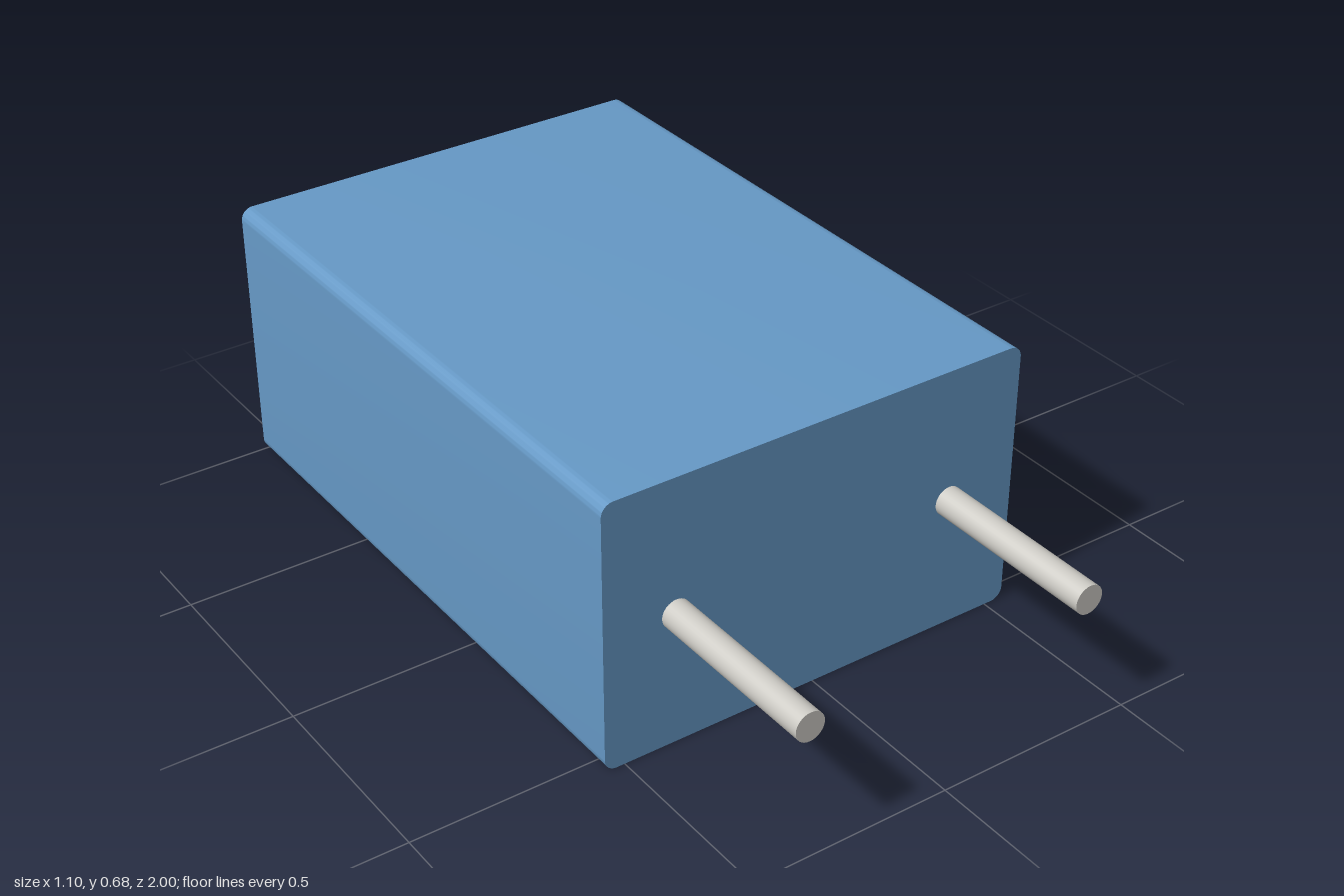
import * as THREE from 'three';
import { toCreasedNormals } from 'three/addons/utils/BufferGeometryUtils.js';

const WIDTH = 1.1, HEIGHT = 0.676, BACK = -1, FACE = 0.545, CORNER = 0.03;
const PIN_X = 0.367, PIN_RADIUS = 0.036, PIN_END = 1, PIN_INSET = 0.02;

// Rounded rectangle centred on x = 0, standing on y = 0
function roundedRect(w, h, r) {
  const s = new THREE.Shape();
  s.absarc(w / 2 - r, r, r, -Math.PI / 2, 0);
  s.absarc(w / 2 - r, h - r, r, 0, Math.PI / 2);
  s.absarc(-w / 2 + r, h - r, r, Math.PI / 2, Math.PI);
  s.absarc(-w / 2 + r, r, r, Math.PI, Math.PI * 1.5);
  s.closePath();
  return s;
}

export function createModel() {
  const group = new THREE.Group();
  group.name = 'twoPinComponent';
  const blue = new THREE.MeshStandardMaterial({ color: 0x6699c6 });
  const metal = new THREE.MeshStandardMaterial({ color: 0xcccac4 });

  // Block with four rounded long edges and flat, sharp-edged ends
  const bodyGeometry = new THREE.ExtrudeGeometry(roundedRect(WIDTH, HEIGHT, CORNER), {
    depth: FACE - BACK, bevelEnabled: false, curveSegments: 8,
  });
  const body = new THREE.Mesh(toCreasedNormals(bodyGeometry, 0.6), blue);
  body.name = 'body';
  body.position.z = BACK;
  group.add(body);

  // Two round pins standing out of the front face
  const length = PIN_END - FACE + PIN_INSET;
  const pinGeometry = new THREE.CylinderGeometry(PIN_RADIUS, PIN_RADIUS, length, 32);
  pinGeometry.rotateX(Math.PI / 2);
  for (const side of [1, -1]) {
    const pin = new THREE.Mesh(pinGeometry, metal);
    pin.name = side > 0 ? 'leftPin' : 'rightPin';
    pin.position.set(side * PIN_X, HEIGHT / 2, PIN_END - length / 2);
    group.add(pin);
  }
  return group;
}
